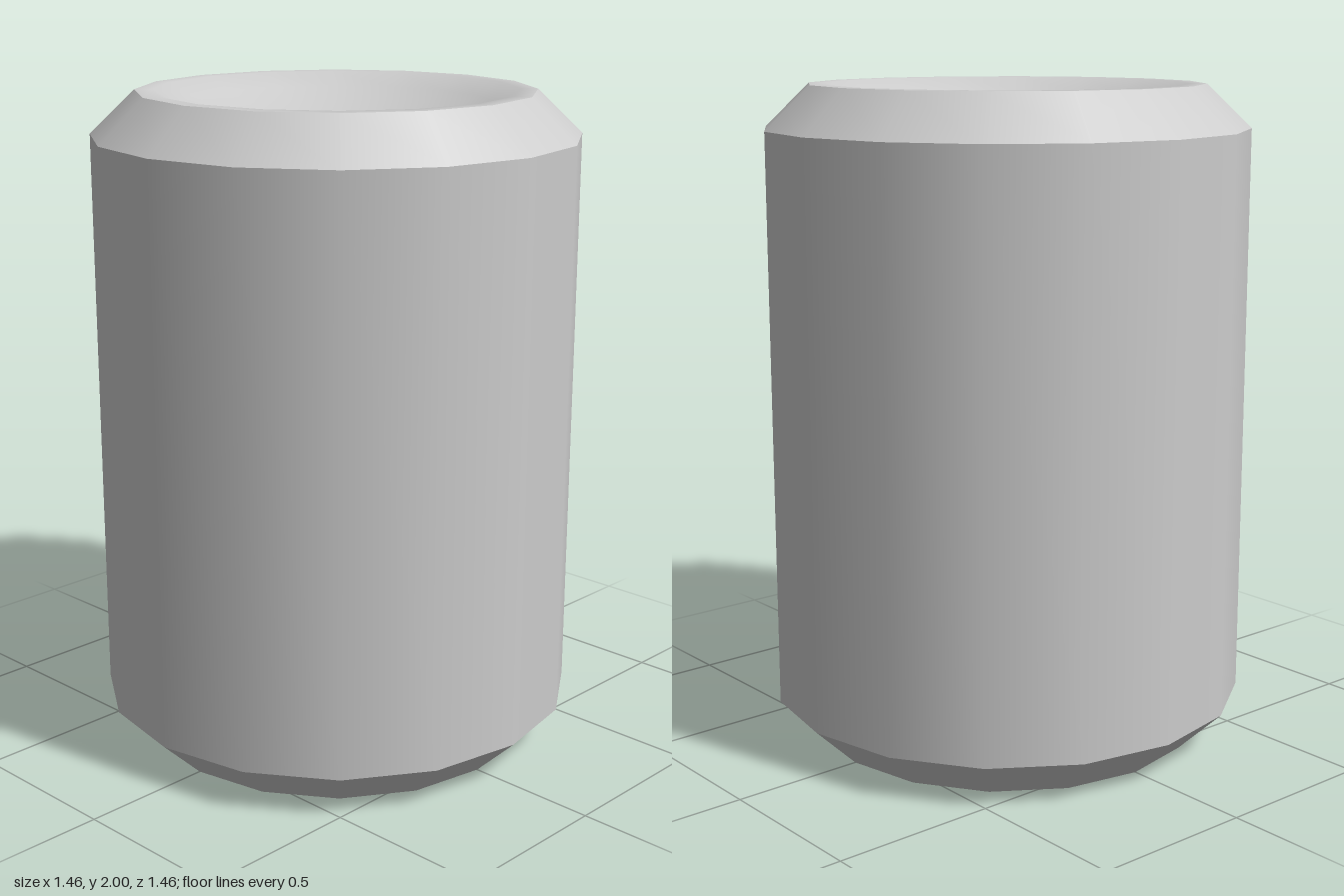
import * as THREE from 'three';

const SIDES = 16, R = 0.73, RIM = 0.595, H = 2, BEVEL = 0.13;
const LIP = 0.545, DISH = 0.14; // inner radius of the flat lip, depth of the dish

export function createModel() {
  const model = new THREE.Group();
  model.name = 'beveledDrum';
  const grey = new THREE.MeshStandardMaterial({ color: 0xcccccc });
  grey.name = 'plain grey';

  // Each band is its own lathe, so the edges between bands stay sharp
  const band = (name, points) => {
    const geometry = new THREE.LatheGeometry(points.map(([r, y]) => new THREE.Vector2(r, y)), SIDES);
    const mesh = new THREE.Mesh(geometry, grey);
    mesh.name = name;
    model.add(mesh);
  };

  // Shallow spherical dish, from the rim to the centre
  const dish = [[RIM, H]];
  const steps = 7;
  const sphere = (LIP * LIP + DISH * DISH) / (2 * DISH);
  for (let i = 0; i <= steps; i++) {
    const r = LIP * (1 - i / steps);
    dish.push([r, H + sphere - DISH - Math.sqrt(sphere * sphere - r * r)]);
  }

  band('flatBase', [[0, 0], [RIM, 0]]);
  band('bottomBevel', [[RIM, 0], [R, BEVEL]]);
  band('body', [[R, BEVEL], [R, H - BEVEL]]);
  band('topBevel', [[R, H - BEVEL], [RIM, H]]);
  band('topDish', dish);

  return model;
}
